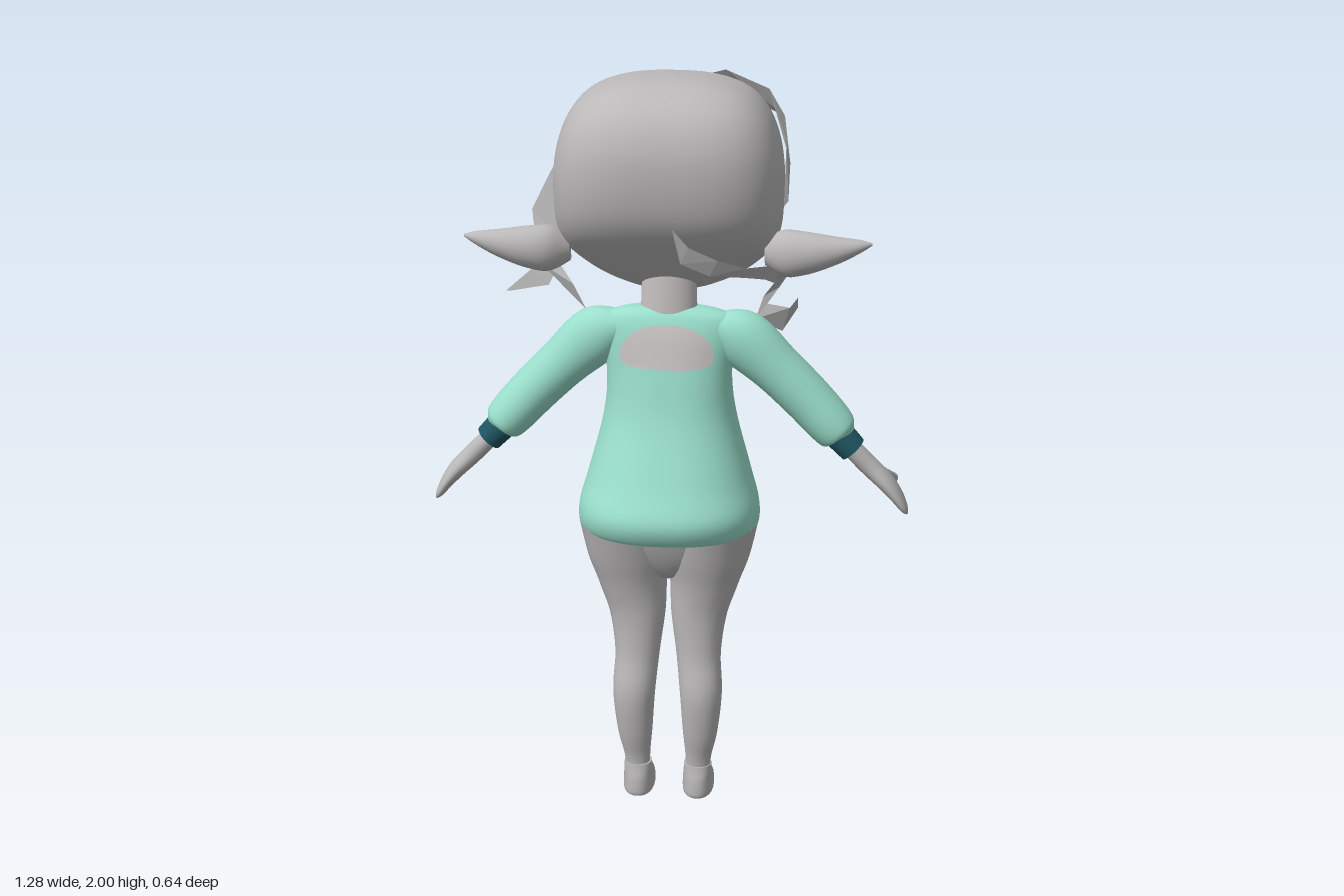
import * as THREE from 'three';

const mat = (name, color, side = THREE.FrontSide) => {
  const m = new THREE.MeshStandardMaterial({ color, side });
  m.name = name;
  return m;
};

// A station is [x, y, z, radius across, radius in z]; row() makes one from a width and back/front z.
const row = ([y, w, zb, zf], x = 0) => [x, y, (zb + zf) / 2, w, (zb - zf) / 2];

// Catmull-Rom resampling of stations
function smooth(rows, steps = 5) {
  const out = [], at = i => rows[Math.min(Math.max(i, 0), rows.length - 1)];
  for (let i = 0; i < rows.length - 1; i++) {
    for (let k = 0; k < steps; k++) {
      const t = k / steps;
      out.push(rows[i].map((_, c) => {
        const [a, b, d, e] = [at(i - 1)[c], at(i)[c], at(i + 1)[c], at(i + 2)[c]];
        const v = b + 0.5 * t * (d - a + t * (2 * a - 5 * b + 4 * d - e + t * (3 * (b - d) + e - a)));
        return c > 2 ? Math.max(v, 0.001) : v;
      }));
    }
  }
  out.push(rows[rows.length - 1]);
  return out;
}

function build(pos, idx) {
  const g = new THREE.BufferGeometry();
  g.setAttribute('position', new THREE.Float32BufferAttribute(pos, 3));
  g.setIndex(idx);
  g.computeVertexNormals();
  return g;
}

// Skin of superellipse rings (power n, or nFace on the -z half); dish hollows the -z side
function loft(st, { n = 2, nFace = n, segs = 32, dish = 0, warp = null } = {}) {
  const pos = [], idx = [];
  st.forEach((s, i) => {
    const p = st[Math.max(i - 1, 0)], q = st[Math.min(i + 1, st.length - 1)];
    const len = Math.hypot(q[0] - p[0], q[1] - p[1]) || 1;
    const tx = (q[0] - p[0]) / len, ty = (q[1] - p[1]) / len;
    for (let j = 0; j < segs; j++) {
      const th = (j / segs) * Math.PI * 2, c = Math.cos(th), sn = Math.sin(th), e = sn < 0 ? nFace : n;
      const r = 1 / Math.pow(Math.abs(c) ** e + Math.abs(sn) ** e, 1 / e);
      const u = c * r * s[3];
      let v = sn * r;
      if (v < 0) v *= 1 - dish * v * v;
      const pt = new THREE.Vector3(s[0] + ty * u, s[1] - tx * u, s[2] + v * s[4]);
      if (warp) warp(pt);
      pos.push(pt.x, pt.y, pt.z);
    }
  });
  for (let i = 0; i < st.length - 1; i++) {
    for (let j = 0; j < segs; j++) {
      const a = i * segs + j, b = i * segs + (j + 1) % segs;
      idx.push(a, a + segs, b, b, a + segs, b + segs);
    }
  }
  // End caps with their own vertices
  [0, st.length - 1].forEach((i, end) => {
    const base = pos.length / 3;
    for (let j = 0; j < segs; j++) pos.push(...pos.slice((i * segs + j) * 3, (i * segs + j) * 3 + 3));
    pos.push(st[i][0], st[i][1], st[i][2]);
    for (let j = 0; j < segs; j++) {
      const a = base + j, b = base + (j + 1) % segs;
      idx.push(base + segs, end ? b : a, end ? a : b);
    }
  });
  return build(pos, idx);
}

// Depth of a lofted upright surface at x, y
function surfaceZ(st, n, side, x, y) {
  let i = 0;
  while (i < st.length - 2 && st[i + 1][1] < y) i++;
  const a = st[i], b = st[i + 1], t = THREE.MathUtils.clamp((y - a[1]) / (b[1] - a[1]), 0, 1);
  const [, , cz, rx, rz] = a.map((v, c) => v + (b[c] - v) * t);
  return cz + side * rz * Math.pow(Math.max(0, 1 - Math.abs(x / rx) ** n), 1 / n);
}

// Thin patch that follows a surface; outline(angle) gives its radius factor
function patch(st, n, side, cx, cy, rx, ry, outline = () => 1, off = 0.006) {
  const segs = 40, rings = 5, pos = [], idx = [];
  for (let k = 0; k <= rings; k++) {
    for (let j = 0; j < segs; j++) {
      const th = (j / segs) * Math.PI * 2, r = (k / rings) * outline(th);
      const x = cx + Math.cos(th) * rx * r, y = cy + Math.sin(th) * ry * r;
      pos.push(x, y, surfaceZ(st, n, side, x, y) + side * off);
      if (k === rings) continue;
      const a = k * segs + j, b = k * segs + (j + 1) % segs;
      if (side > 0) idx.push(a, a + segs, b, b, a + segs, b + segs);
      else idx.push(a, b, a + segs, b, b + segs, a + segs);
    }
  }
  return build(pos, idx);
}

// Flat-faced strand of hair from pairs of edge points
function ribbon(pairs) {
  const idx = [];
  for (let i = 0; i < pairs.length - 1; i++) idx.push(2 * i, 2 * i + 1, 2 * i + 2, 2 * i + 1, 2 * i + 3, 2 * i + 2);
  const g = build(pairs.flat(), idx).toNonIndexed();
  g.computeVertexNormals();
  return g;
}

export function createModel() {
  const model = new THREE.Group();
  const grey = mat('warm grey', 0xbab8b8);
  const skin = mat('light skin grey', 0xc8c4c3);
  const teal = mat('mint shirt', 0x9adfcb);
  const dark = mat('dark teal', 0x1f5561);
  const hair = mat('hair grey', 0xb8b7b7, THREE.DoubleSide);
  const add = (name, geo, m) => {
    const mesh = new THREE.Mesh(geo, m);
    mesh.name = name;
    model.add(mesh);
  };

  // Head, with eye sockets pressed in and a soft muzzle
  const headRows = smooth([
    [1.43, 0.03, 0.0, -0.08], [1.437, 0.09, 0.05, -0.13], [1.46, 0.15, 0.09, -0.162], [1.49, 0.2, 0.13, -0.176],
    [1.53, 0.245, 0.175, -0.175], [1.57, 0.275, 0.22, -0.168], [1.62, 0.289, 0.265, -0.165], [1.68, 0.293, 0.295, -0.172],
    [1.76, 0.293, 0.31, -0.19], [1.84, 0.28, 0.308, -0.198], [1.91, 0.25, 0.283, -0.178], [1.96, 0.2, 0.235, -0.13],
    [1.99, 0.12, 0.165, -0.05], [2.0, 0.015, 0.08, 0.04],
  ].map(r => row(r)), 7);
  const nFace = 2.55;
  add('head', loft(headRows, {
    n: 2.9, nFace, segs: 120,
    warp: p => {
      if (p.z > 0) return;
      const e = Math.hypot((Math.abs(p.x) - 0.13) / 0.07, (p.y - 1.635) / 0.065);
      if (e < 1) p.z += 0.04 * Math.min(1, (1 - e) * 4);
      p.z -= 0.016 * Math.exp(-((p.x / 0.08) ** 2) - ((p.y - 1.5) / 0.04) ** 2);
    },
  }), grey);
  add('nose', new THREE.SphereGeometry(0.01, 12, 8).translate(0, 1.535, -0.18), grey);
  add('neck', loft([[0, 1.36, 0.08, 0.075, 0.05], [0, 1.5, 0.08, 0.07, 0.05]]), skin);

  // Shirt, with the open back panel and neckline
  const shirtRows = smooth([
    [0.79, 0.215, 0.24, -0.12], [0.8, 0.24, 0.272, -0.14], [0.86, 0.24, 0.292, -0.143], [0.95, 0.215, 0.255, -0.133],
    [1.1, 0.176, 0.198, -0.09], [1.22, 0.165, 0.172, -0.03], [1.33, 0.178, 0.152, 0.02], [1.375, 0.172, 0.138, 0.04],
    [1.395, 0.125, 0.125, 0.048], [1.402, 0.07, 0.115, 0.055],
  ].map(r => row(r)), 6);
  add('shirt', loft(shirtRows, { n: 2.3, segs: 64 }), teal);
  // Panel outline: domed above, shallow and squared below
  const dome = t => {
    const [n, k] = Math.sin(t) > 0 ? [2.1, 1] : [4, 0.4];
    return Math.pow(Math.abs(Math.cos(t)) ** n + Math.abs(Math.sin(t) / k) ** n, -1 / n);
  };
  add('backPanel', patch(shirtRows, 2.3, 1, 0, 1.283, 0.122, 0.083, dome), skin);
  add('neckline', patch(shirtRows, 2.3, -1, 0, 1.335, 0.057, 0.064), skin);

  const ragged = t => 0.88 + 0.1 * Math.sin(4 * t + 0.6) + 0.04 * Math.sin(9 * t);
  for (const s of [1, -1]) {
    const side = s > 0 ? 'left' : 'right';
    const limb = (st, opt, steps = 5) => loft(smooth(st.map(([x, ...rest]) => [x * s, ...rest]), steps), opt);

    // Painted shirt spots and seam stitches
    add(side + 'LargeSpot', patch(shirtRows, 2.3, -1, 0.135 * s, 0.965, 0.064, 0.066, ragged), dark);
    add(side + 'SmallSpot', patch(shirtRows, 2.3, -1, 0.106 * s, 1.192, 0.03, 0.034, ragged), dark);
    add(side + 'SpotCentre', patch(shirtRows, 2.3, -1, 0.108 * s, 1.18, 0.014, 0.016, undefined, 0.009), skin);
    for (let y = 0.83; y < 1.32; y += 0.024) {
      add(side + 'Stitch', patch(shirtRows, 2.3, -1, 0.035 * s, y, 0.0025, 0.008, undefined, 0.004), dark);
    }

    // Brow and upper eyelid
    add(side + 'Brow', patch(headRows, nFace, -1, 0.13 * s, 1.73, 0.048, 0.006), grey);
    const lid = [[0.06, 1.655], [0.085, 1.685], [0.13, 1.7], [0.17, 1.69], [0.203, 1.655]]
      .map(([x, y]) => new THREE.Vector3(x * s, y, surfaceZ(headRows, nFace, -1, x, y)));
    add(side + 'Eyelid', new THREE.TubeGeometry(new THREE.CatmullRomCurve3(lid), 16, 0.007, 6), grey);

    // Pointed ear, hollow towards the face
    add(side + 'Ear', limb([
      [0.25, 1.56, 0.12, 0.035, 0.035], [0.3, 1.562, 0.143, 0.06, 0.047], [0.36, 1.567, 0.153, 0.054, 0.046],
      [0.43, 1.576, 0.156, 0.036, 0.034], [0.49, 1.587, 0.153, 0.017, 0.019], [0.522, 1.592, 0.15, 0.003, 0.003],
    ], { dish: 1.3, segs: 28 }), grey);

    // Sleeve, cuff and hand
    add(side + 'Sleeve', limb([
      [0.12, 1.35, 0.085, 0.04, 0.045], [0.19, 1.317, 0.078, 0.076, 0.063], [0.28, 1.235, 0.068, 0.068, 0.067],
      [0.36, 1.155, 0.062, 0.065, 0.07], [0.42, 1.09, 0.062, 0.062, 0.07], [0.448, 1.06, 0.066, 0.054, 0.06],
      [0.452, 1.055, 0.068, 0.035, 0.038],
    ]), teal);
    add(side + 'Cuff', limb([[0.44, 1.065, 0.068, 0.042, 0.042], [0.488, 1.015, 0.07, 0.038, 0.04]], {}, 1), dark);
    add(side + 'Hand', limb([
      [0.47, 1.033, 0.07, 0.026, 0.032], [0.53, 0.97, 0.065, 0.026, 0.031], [0.575, 0.925, 0.06, 0.024, 0.042],
      [0.607, 0.885, 0.06, 0.018, 0.042], [0.628, 0.852, 0.063, 0.011, 0.032], [0.637, 0.838, 0.065, 0.003, 0.012],
    ], { segs: 20 }), grey);
    const thumb = [[0.562, 0.945, 0.045], [0.582, 0.925, 0.01], [0.597, 0.905, -0.022]]
      .map(([x, y, z]) => new THREE.Vector3(x * s, y, z));
    add(side + 'Thumb', new THREE.TubeGeometry(new THREE.CatmullRomCurve3(thumb), 8, 0.014, 10), grey);
    add(side + 'ThumbTip', new THREE.SphereGeometry(0.0145, 10, 8).translate(thumb[2].x, thumb[2].y, thumb[2].z), grey);

    // Leg and shoe, the thighs meeting at the middle
    add(side + 'Leg', limb([
      row([0.07, 0.034, 0.152, 0.092], 0.084), row([0.12, 0.036, 0.158, 0.09], 0.085), row([0.2, 0.048, 0.178, 0.082], 0.09),
      row([0.32, 0.058, 0.192, 0.072], 0.092), row([0.43, 0.061, 0.175, 0.055], 0.084), row([0.55, 0.077, 0.175, 0.03], 0.084),
      row([0.64, 0.094, 0.19, 0.0], 0.096), row([0.72, 0.115, 0.213, -0.03], 0.104), row([0.82, 0.13, 0.24, -0.08], 0.112),
    ], { segs: 24, n: 2.15 }), grey);
    add(side + 'Shoe', limb([
      row([0, 0.037, 0.16, 0.025], 0.083), row([0.008, 0.043, 0.166, 0.015], 0.083), row([0.035, 0.043, 0.166, 0.018], 0.083),
      row([0.058, 0.041, 0.164, 0.045], 0.083), row([0.075, 0.039, 0.16, 0.075], 0.083), row([0.095, 0.038, 0.157, 0.087], 0.083),
    ], { n: 2.3 }, 3), grey);
  }
  // Hips filling the gap between the thighs
  add('hips', loft(smooth([
    [0.645, 0.02, 0.12, 0.07], [0.67, 0.07, 0.165, 0.02], [0.73, 0.17, 0.202, -0.022], [0.82, 0.235, 0.235, -0.075],
  ].map(r => row(r))), { n: 2.2 }), grey);

  // Swept fringe crossing the forehead and flaring beside the face
  add('fringe', ribbon([
    [0.3, 1.7, 0.22, 0.31, 1.71, 0.2], [0.3, 1.85, 0.13, 0.31, 1.79, 0.12], [0.25, 1.96, 0.03, 0.29, 1.89, 0.02],
    [0.13, 1.985, -0.1, 0.19, 1.9, -0.14], [0.0, 1.94, -0.18, 0.03, 1.86, -0.205], [-0.15, 1.89, -0.215, -0.11, 1.78, -0.215],
    [-0.29, 1.79, -0.24, -0.2, 1.66, -0.2], [-0.36, 1.67, -0.25, -0.26, 1.54, -0.2], [-0.41, 1.57, -0.25, -0.34, 1.5, -0.22],
    [-0.4, 1.5, -0.23, -0.34, 1.44, -0.22], [-0.38, 1.43, -0.2, -0.29, 1.38, -0.18], [-0.26, 1.31, -0.19, -0.25, 1.3, -0.18],
  ]), hair);
  add('fringeTip', ribbon([
    [-0.34, 1.5, -0.24, -0.36, 1.43, -0.24], [-0.42, 1.5, -0.27, -0.42, 1.46, -0.26], [-0.48, 1.5, -0.32, -0.47, 1.49, -0.31],
  ]), hair);
  add('fringeEnd', ribbon([
    [-0.4, 1.46, -0.23, -0.33, 1.43, -0.22], [-0.41, 1.41, -0.21, -0.36, 1.37, -0.2], [-0.48, 1.35, -0.2, -0.47, 1.35, -0.2],
  ]), hair);
  // Nape strand and curled side lock
  add('napeStrand', ribbon([
    [0.02, 1.67, 0.32, 0.03, 1.66, 0.32], [0.07, 1.61, 0.305, 0.05, 1.57, 0.31], [0.14, 1.57, 0.27, 0.12, 1.53, 0.27],
    [0.21, 1.54, 0.22, 0.2, 1.51, 0.2], [0.27, 1.52, 0.11, 0.25, 1.48, 0.1], [0.29, 1.5, 0.02, 0.27, 1.45, 0.02],
  ]), hair);
  add('sideLock', ribbon([
    [0.29, 1.5, 0.03, 0.25, 1.47, 0.03], [0.31, 1.47, -0.03, 0.27, 1.44, -0.03], [0.28, 1.42, -0.05, 0.24, 1.4, -0.03],
    [0.25, 1.38, -0.03, 0.22, 1.34, -0.02], [0.31, 1.37, -0.03, 0.29, 1.3, -0.05], [0.33, 1.39, -0.06, 0.33, 1.36, -0.07],
  ]), hair);
  add('sideWisp', ribbon([
    [0.28, 1.51, 0.02, 0.27, 1.47, 0], [0.32, 1.47, -0.04, 0.31, 1.45, -0.04], [0.36, 1.46, -0.06, 0.36, 1.455, -0.06],
  ]), hair);
  return model;
}
